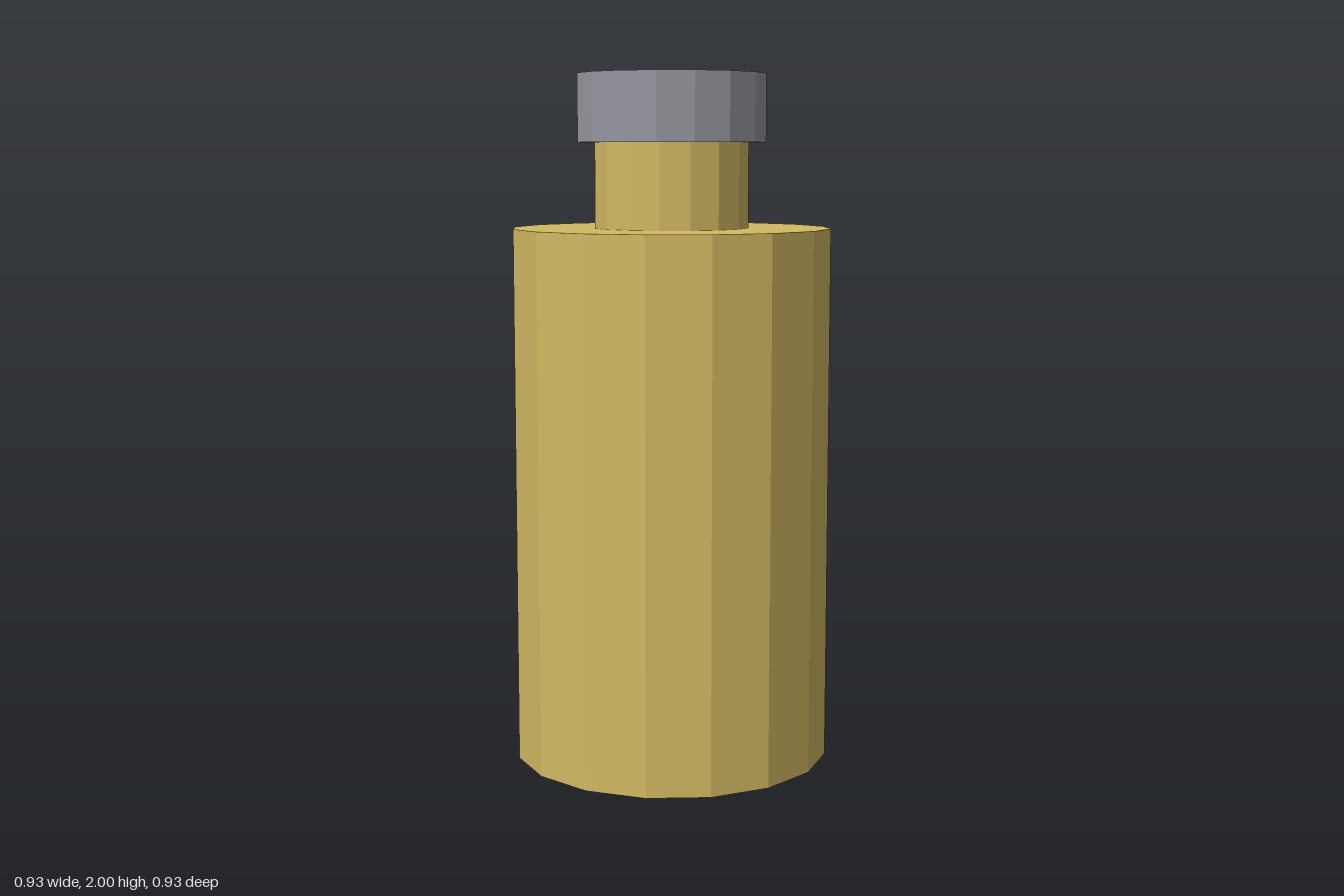
import * as THREE from 'three';

const SIDES = 16;

export function createModel() {
  const model = new THREE.Group();
  model.name = 'bottle';

  const gold = new THREE.MeshStandardMaterial({ color: 0xd2b962, flatShading: true });
  gold.name = 'gold';
  const grey = new THREE.MeshStandardMaterial({ color: 0x96979f, flatShading: true });
  grey.name = 'grey';

  // Upright faceted cylinder between two heights
  function addDrum(name, radius, bottom, top, material, openEnded = false) {
    const geometry = new THREE.CylinderGeometry(radius, radius, top - bottom, SIDES, 1, openEnded);
    const mesh = new THREE.Mesh(geometry, material);
    mesh.name = name;
    mesh.position.y = (bottom + top) / 2;
    model.add(mesh);
  }

  addDrum('body', 0.463, 0, 1.56, gold);
  // The neck's ends are covered by the body and the cap
  addDrum('neck', 0.225, 1.56, 1.805, gold, true);
  addDrum('cap', 0.275, 1.805, 2, grey);

  return model;
}
